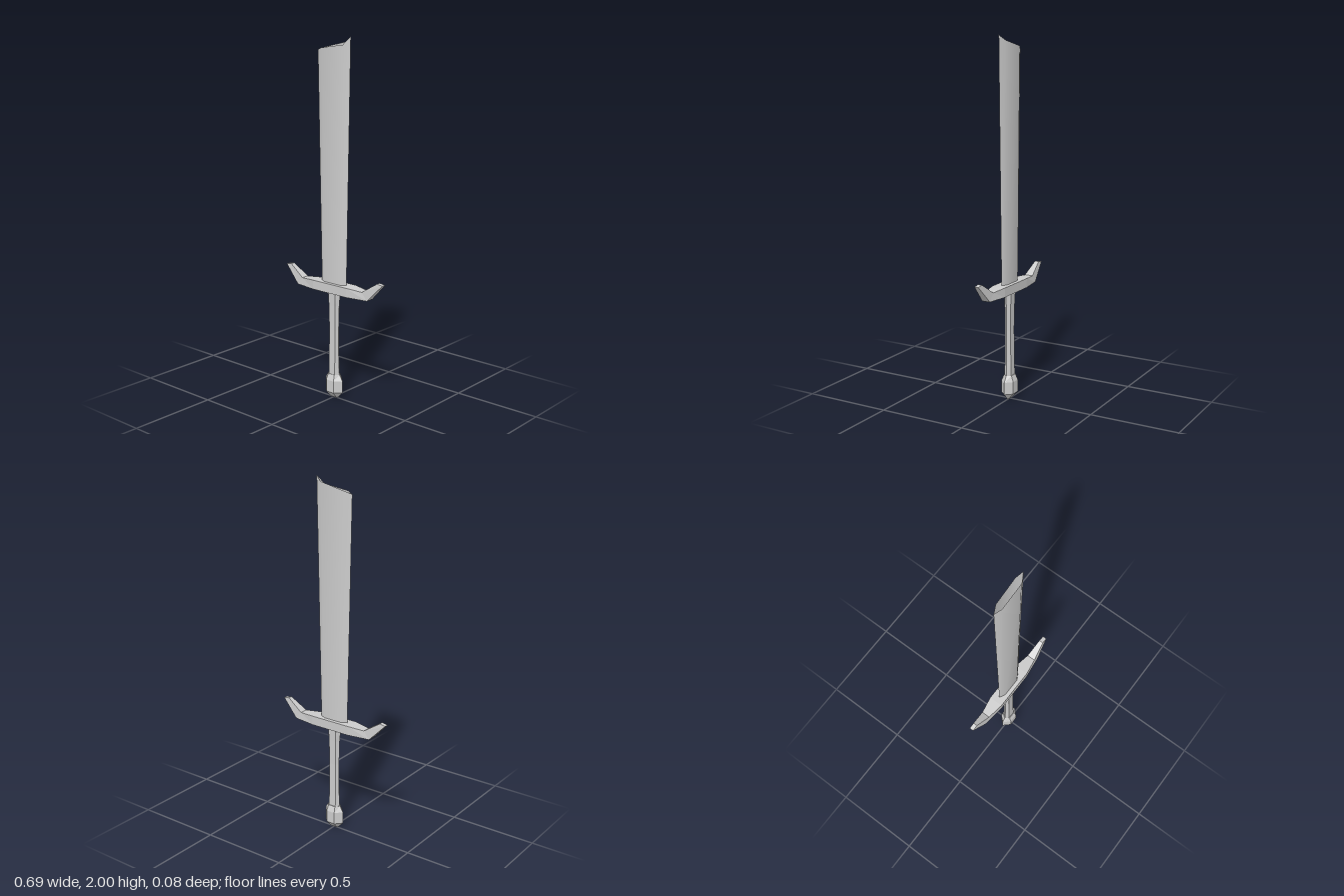
import * as THREE from 'three';
import { toCreasedNormals } from 'three/addons/utils/BufferGeometryUtils.js';

// Skin a stack of equal-length point loops, optionally closing both ends.
function loft(rings, capped) {
  const pos = [];
  const tri = (a, b, c) => pos.push(...a, ...b, ...c);
  const n = rings[0].length;
  for (let r = 0; r < rings.length - 1; r++) {
    for (let i = 0; i < n; i++) {
      const j = (i + 1) % n;
      const a = rings[r][i], b = rings[r][j];
      const c = rings[r + 1][i], d = rings[r + 1][j];
      tri(a, c, b);
      tri(b, c, d);
    }
  }
  if (capped) {
    const first = rings[0], last = rings[rings.length - 1];
    for (let i = 1; i < n - 1; i++) {
      tri(first[0], first[i], first[i + 1]);
      tri(last[0], last[i + 1], last[i]);
    }
  }
  const geometry = new THREE.BufferGeometry();
  geometry.setAttribute('position', new THREE.Float32BufferAttribute(pos, 3));
  geometry.computeVertexNormals();
  return geometry;
}

// Flattened hexagon: pointed at +-x, flat faces at +-z.
// y is one height or a height for each of the six corners.
function hexRing(halfWidth, flat, depth, y) {
  const h = (i) => (Array.isArray(y) ? y[i] : y);
  return [
    [halfWidth, 0], [flat, depth], [-flat, depth],
    [-halfWidth, 0], [-flat, -depth], [flat, -depth],
  ].map(([x, z], i) => [x, h(i), z]);
}

export function createModel() {
  const group = new THREE.Group();
  const add = (name, geometry, options = {}) => {
    const material = new THREE.MeshStandardMaterial({ color: 0xcccccc, ...options });
    const mesh = new THREE.Mesh(geometry, material);
    mesh.name = name;
    group.add(mesh);
  };

  // Blade: widens upward to a slanted, open end
  const blade = loft([
    hexRing(0.088, 0.056, 0.018, 0.65),
    hexRing(0.113, 0.074, 0.018, [2.0, 1.957, 1.937, 1.925, 1.941, 1.973]),
  ], false);
  add('blade', toCreasedNormals(blade, 0.9), { side: THREE.DoubleSide });

  // Crossguard: [x top, y top, x bottom, y bottom, half depth], mirrored in x
  const half = [
    [0.12, 0.667, 0.12, 0.615, 0.04],
    [0.215, 0.66, 0.25, 0.617, 0.024],
    [0.31, 0.722, 0.345, 0.716, 0.012],
  ];
  const mirrored = half.map(([a, b, c, d, e]) => [-a, b, -c, d, e]).reverse();
  const guardRings = [...mirrored, ...half].map(([xt, yt, xb, yb, z]) => [
    [xt, yt, z], [xt, yt, -z], [xb, yb, -z], [xb, yb, z],
  ]);
  add('crossguard', loft(guardRings, true), { flatShading: true });

  // Grip: waisted hexagonal handle
  const grip = [
    [0.039, 0.022, 0.021, 0.12],
    [0.034, 0.021, 0.019, 0.22],
    [0.033, 0.02, 0.017, 0.4],
    [0.037, 0.022, 0.019, 0.54],
    [0.045, 0.025, 0.022, 0.62],
  ];
  add('grip', loft(grip.map((s) => hexRing(...s)), true), { flatShading: true });

  // Pommel: hexagonal block closing to a short ridge underneath
  const pommel = [
    [0.024, 0.02, 0.003, 0],
    [0.061, 0.026, 0.037, 0.038],
    [0.061, 0.026, 0.037, 0.107],
    [0.04, 0.022, 0.024, 0.14],
  ];
  add('pommel', loft(pommel.map((s) => hexRing(...s)), true), { flatShading: true });

  return group;
}
